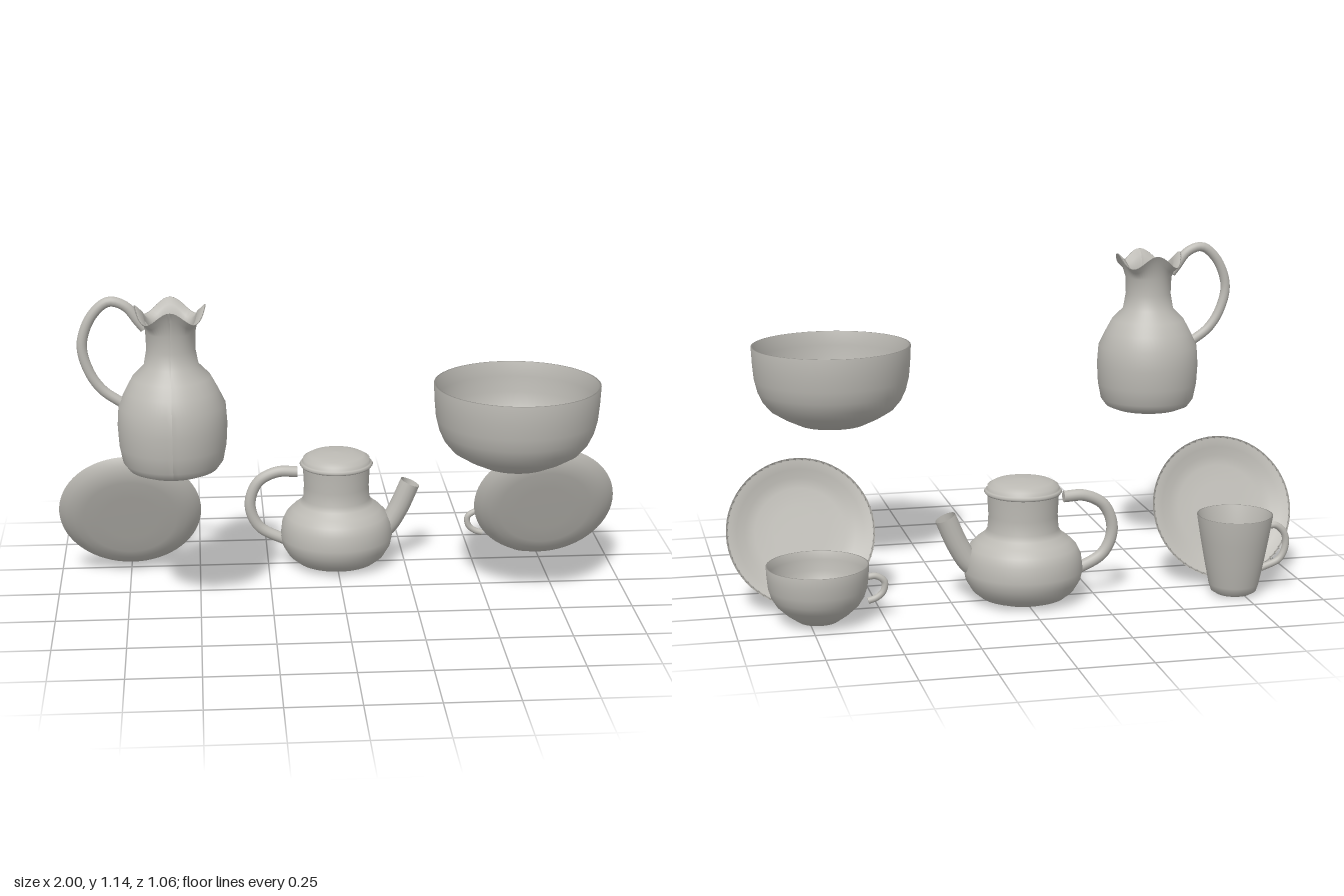
import * as THREE from 'three';

const glaze = new THREE.MeshStandardMaterial({ color: 0xbcbab4, side: THREE.DoubleSide });
glaze.name = 'grey glaze';

// Turned part from [radius, height] points
function turned(name, points, segments = 64) {
  const geo = new THREE.LatheGeometry(points.map(([r, y]) => new THREE.Vector2(r, y)), segments);
  const mesh = new THREE.Mesh(geo, glaze);
  mesh.name = name;
  return mesh;
}

// Hollow turned part: the outer profile runs from base to rim, then back down inside
function hollow(name, outer, wall = 0.01) {
  const inner = outer.slice(0, -1).reverse().map(([r, y]) => [Math.max(r - wall, 0), y + wall]);
  const [rimR, rimY] = outer[outer.length - 1];
  return turned(name, [...outer, [rimR - wall * 0.7, rimY], ...inner]);
}

// Round bar along [x, y] points in the z = 0 plane, with closed ends unless it is a pipe
function bar(name, path, radius, capped = true) {
  const curve = new THREE.CatmullRomCurve3(path.map(([x, y]) => new THREE.Vector3(x, y, 0)));
  const group = new THREE.Group();
  group.name = name;
  group.add(new THREE.Mesh(new THREE.TubeGeometry(curve, 40, radius, 16), glaze));
  if (capped) {
    for (const t of [0, 1]) {
      const cap = new THREE.Mesh(new THREE.CircleGeometry(radius, 16), glaze);
      const p = curve.getPointAt(t);
      const dir = curve.getTangentAt(t).multiplyScalar(t ? 1 : -1);
      cap.position.copy(p);
      cap.lookAt(p.clone().add(dir));
      group.add(cap);
    }
  }
  return group;
}

function place(name, x, z, ...parts) {
  const group = new THREE.Group();
  group.name = name;
  group.position.set(x, 0, z);
  group.add(...parts);
  return group;
}

function makePitcher() {
  const body = hollow('pitcherBody', [
    [0, 0.535], [0.118, 0.537], [0.15, 0.55], [0.168, 0.575], [0.179, 0.63], [0.183, 0.7],
    [0.178, 0.77], [0.154, 0.82], [0.13, 0.865], [0.091, 0.905], [0.081, 0.96],
    [0.083, 1.02], [0.097, 1.06], [0.118, 1.083],
  ], 0.006);
  // Four waves around the rim
  const pos = body.geometry.attributes.position;
  for (let i = 0; i < pos.count; i++) {
    const y = pos.getY(i);
    const k = THREE.MathUtils.smoothstep(y, 1.01, 1.083);
    const a = Math.atan2(pos.getZ(i), pos.getX(i));
    pos.setY(i, y + k * 0.024 * Math.cos(4 * a));
  }
  body.geometry.computeVertexNormals();
  const handle = bar('pitcherHandle', [
    [-0.085, 1.03], [-0.105, 1.055], [-0.145, 1.105], [-0.2, 1.122], [-0.257, 1.075],
    [-0.292, 0.979], [-0.272, 0.888], [-0.23, 0.823], [-0.165, 0.775],
  ], 0.017);
  return place('pitcher', -0.582, 0.246, body, handle);
}

function makeTeapot() {
  const body = turned('teapotBody', [
    [0, 0], [0.108, 0.002], [0.148, 0.016], [0.175, 0.038], [0.197, 0.075], [0.204, 0.11],
    [0.198, 0.16], [0.183, 0.19], [0.16, 0.213], [0.133, 0.233], [0.121, 0.252],
    [0.118, 0.3], [0.122, 0.375],
  ]);
  const lid = turned('teapotLid', [
    [0, 0.374], [0.128, 0.374], [0.133, 0.381], [0.128, 0.388], [0.122, 0.39], [0.121, 0.402],
    [0.1, 0.414], [0.06, 0.423], [0, 0.426],
  ]);
  const handle = bar('teapotHandle', [
    [-0.142, 0.352], [-0.217, 0.352], [-0.285, 0.315], [-0.315, 0.23], [-0.283, 0.145], [-0.175, 0.085],
  ], 0.02);
  const spout = bar('teapotSpout', [[0.13, 0.1], [0.185, 0.138], [0.225, 0.2], [0.27, 0.302]], 0.037, false);
  return place('teapot', 0, -0.255, body, lid, handle, spout);
}

function makeBowl() {
  return place('bowl', 0.577, 0.247, hollow('bowlBody', [
    [0, 0.535], [0.121, 0.536], [0.175, 0.562], [0.22, 0.59], [0.245, 0.62], [0.262, 0.656],
    [0.273, 0.7], [0.278, 0.755], [0.281, 0.816],
  ]));
}

function makeMug() {
  const body = hollow('mugBody', [
    [0, 0.005], [0.062, 0.006], [0.078, 0.016], [0.086, 0.04], [0.102, 0.12], [0.116, 0.197], [0.13, 0.283],
  ], 0.008);
  const handle = bar('mugHandle', [
    [-0.115, 0.235], [-0.15, 0.235], [-0.18, 0.205], [-0.186, 0.165], [-0.165, 0.115], [-0.098, 0.085],
  ], 0.012);
  return place('mug', -0.722, -0.362, body, handle);
}

function makeTeacup() {
  const body = hollow('teacupBody', [
    [0, 0.006], [0.068, 0.007], [0.105, 0.033], [0.137, 0.063], [0.154, 0.09], [0.164, 0.122],
    [0.168, 0.16], [0.17, 0.196],
  ], 0.008);
  const handle = bar('teacupHandle', [
    [-0.16, 0.143], [-0.195, 0.145], [-0.223, 0.124], [-0.218, 0.09], [-0.195, 0.07], [-0.167, 0.061],
  ], 0.011);
  return place('teacup', 0.72, -0.359, body, handle);
}

// Saucer tipped on edge, hollow side facing back and up
function makeSaucer(name, x) {
  const saucer = hollow(name, [
    [0, -0.04], [0.1, -0.04], [0.165, -0.039], [0.2, -0.033], [0.228, -0.02], [0.253, 0],
  ], 0.012);
  saucer.rotation.x = -1.176;
  saucer.position.set(x, 0.254, -0.152);
  return saucer;
}

export function createModel() {
  const model = new THREE.Group();
  model.name = 'teaSet';
  model.add(makePitcher(), makeTeapot(), makeBowl(), makeMug(), makeTeacup());
  model.add(makeSaucer('leftSaucer', 0.746), makeSaucer('rightSaucer', -0.746));
  return model;
}
